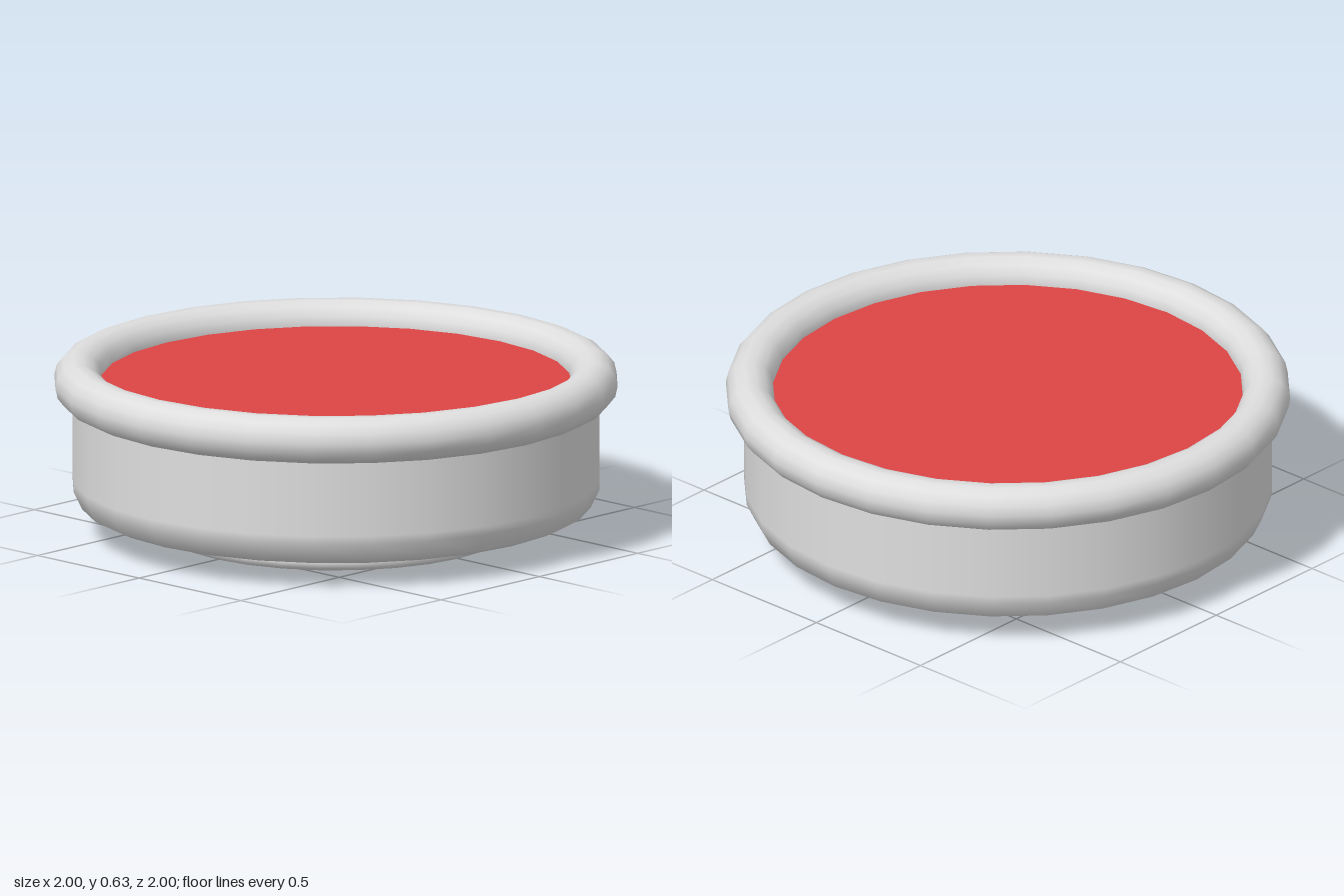
import * as THREE from 'three';

const SIDES = 28;

export function createModel() {
  const model = new THREE.Group();
  const shellGrey = new THREE.MeshStandardMaterial({ color: 0xdedede });
  shellGrey.name = 'shellGrey';
  const panelRed = new THREE.MeshStandardMaterial({ color: 0xdd4545 });
  panelRed.name = 'panelRed';

  const add = (name, geometry, material, y = 0, tilt = 0) => {
    const mesh = new THREE.Mesh(geometry, material);
    mesh.name = name;
    mesh.position.y = y;
    mesh.rotation.x = tilt;
    model.add(mesh);
  };
  // Profile of [radius, height] pairs, from bottom to top
  const lathe = (profile) =>
    new THREE.LatheGeometry(profile.map(([r, y]) => new THREE.Vector2(r, y)), SIDES);

  // Cup with a rounded lower edge
  add('body', lathe([[0.58, 0.085], [0.84, 0.085], [0.865, 0.088], [0.905, 0.108],
    [0.935, 0.17], [0.935, 0.2], [0.935, 0.54]]), shellGrey);

  // Low foot with a small bevel and a flat underside
  add('footWall', lathe([[0.602, 0], [0.618, 0.01], [0.624, 0.028], [0.624, 0.09]]), shellGrey);
  add('footBase', new THREE.CircleGeometry(0.602, SIDES), shellGrey, 0, Math.PI / 2);

  // Rounded rim around the top
  add('rim', new THREE.TorusGeometry(0.916, 0.084, 14, SIDES), shellGrey, 0.548, -Math.PI / 2);

  // Coloured panel inside the rim
  add('topPanel', new THREE.CircleGeometry(0.9, SIDES), panelRed, 0.55, -Math.PI / 2);

  return model;
}
